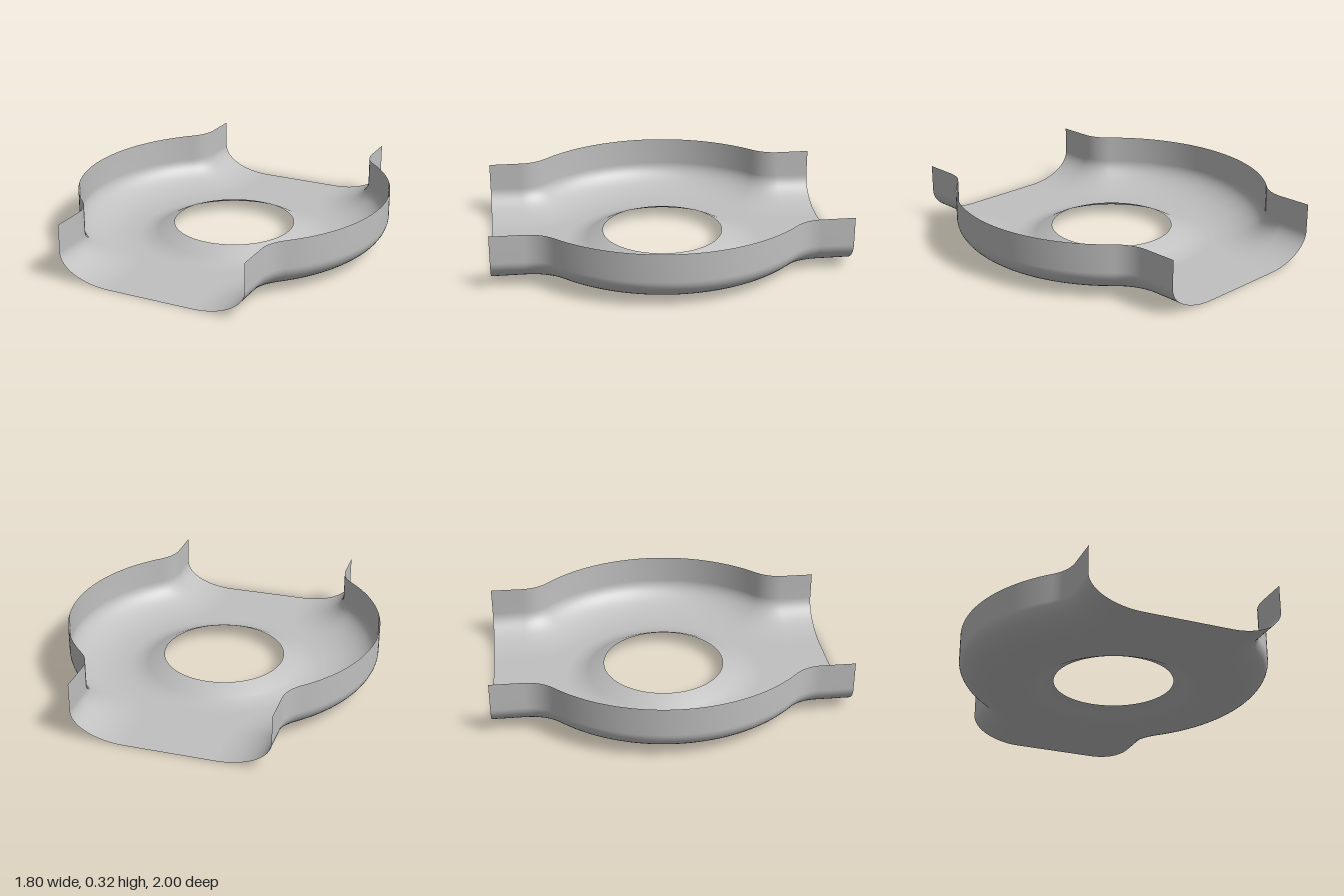
import * as THREE from 'three';

const R = 0.9;          // radius of the bulging side wall
const NECK = 0.55;      // half width at the open ends
const FILLET = 0.21;    // concave fillet between bulge and neck
const FILLET_Z = 0.81;  // where the straight neck begins
const BEND = 0.3, BEND_H = 0.16, WALL_H = 0.32;
const RING = 0.57;      // outer radius of the raised rim around the hole

// Side outline (+x half) as point + outward normal, from z = -1 to z = 1
function sideOutline() {
  const a = Math.atan2(FILLET_Z, NECK + FILLET);
  const half = [];
  for (let i = 0; i <= 24; i++) {
    const t = (a * i) / 24;
    half.push({ x: R * Math.cos(t), z: R * Math.sin(t), nx: Math.cos(t), nz: Math.sin(t) });
  }
  for (let i = 1; i <= 12; i++) {
    const t = a * (1 - i / 12), nx = Math.cos(t), nz = Math.sin(t);
    half.push({ x: NECK + FILLET - FILLET * nx, z: FILLET_Z - FILLET * nz, nx, nz });
  }
  half.push({ x: NECK, z: 1, nx: 1, nz: 0 });
  const back = half.slice(1).reverse().map(p => ({ ...p, z: -p.z, nz: -p.nz }));
  return [...back, ...half];
}

// Upright wall with its rounded foot, swept along the outline
function sideGeometry(outline, side) {
  const profile = [[0, WALL_H], [0, 0.26]];
  for (let i = 0; i <= 16; i++) {
    const t = (Math.PI / 2) * (1 - i / 16);
    profile.push([BEND * (1 - Math.sin(t)), BEND_H * (1 - Math.cos(t))]);
  }
  const pos = [], idx = [], n = profile.length;
  for (const p of outline)
    for (const [inset, y] of profile)
      pos.push(side * (p.x - p.nx * inset), y, p.z - p.nz * inset);
  for (let i = 0; i < outline.length - 1; i++)
    for (let j = 0; j < n - 1; j++) {
      const a = i * n + j, b = a + 1, c = a + n, d = c + 1;
      if (side > 0) idx.push(a, b, c, b, d, c);
      else idx.push(a, c, b, b, c, d);
    }
  const g = new THREE.BufferGeometry();
  g.setAttribute('position', new THREE.Float32BufferAttribute(pos, 3));
  g.setIndex(idx);
  g.computeVertexNormals();
  return g;
}

export function createModel() {
  const group = new THREE.Group();
  const metal = new THREE.MeshStandardMaterial({ color: 0xc0c0c0, side: THREE.DoubleSide });
  metal.name = 'sheet metal grey';
  const add = (geometry, name) => {
    const mesh = new THREE.Mesh(geometry, metal);
    mesh.name = name;
    group.add(mesh);
  };

  // Side walls
  const outline = sideOutline();
  add(sideGeometry(outline, 1), 'leftWall');
  add(sideGeometry(outline, -1), 'rightWall');

  // Flat floor between the feet of the walls
  const edge = outline.map(p => new THREE.Vector2(p.x - p.nx * BEND, p.z - p.nz * BEND));
  const mirrored = edge.map(p => new THREE.Vector2(-p.x, p.y)).reverse();
  const floor = new THREE.Shape([...edge, ...mirrored]);
  const hole = new THREE.Path();
  hole.absarc(0, 0, RING, 0, Math.PI * 2, true);
  floor.holes.push(hole);
  add(new THREE.ShapeGeometry(floor, 48).rotateX(-Math.PI / 2), 'floor');

  // Raised rim: concave fillet out of the floor, then a short cone to the hole
  const rim = [];
  const fillet = 0.28, slope = Math.atan(0.5);
  for (let i = 0; i <= 8; i++) {
    const t = (slope * i) / 8;
    rim.push(new THREE.Vector2(RING - fillet * Math.sin(t), fillet * (1 - Math.cos(t))));
  }
  rim.push(new THREE.Vector2(0.4, 0.053), new THREE.Vector2(0.35, 0.075));
  add(new THREE.LatheGeometry(rim, 96), 'holeRim');

  return group;
}
